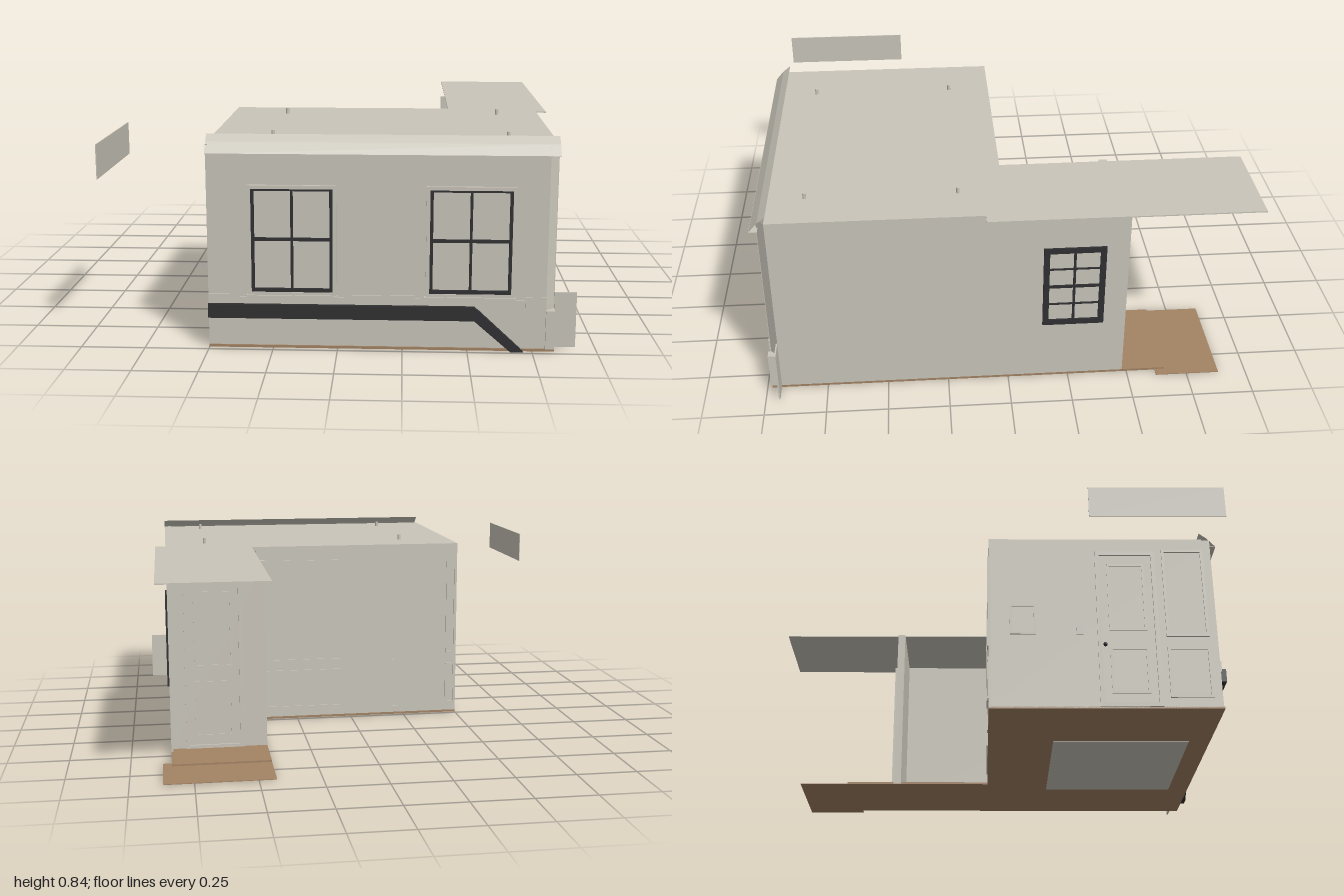
import * as THREE from 'three';

export function createModel() {
  const root = new THREE.Group();
  root.name = 'cornerRoom';
  const material = (name, color, side = THREE.FrontSide) => {
    const m = new THREE.MeshStandardMaterial({ color, side });
    m.name = name;
    return m;
  };
  const plaster = material('plaster', 0xc9c5ba, THREE.DoubleSide);
  const black = material('blackPaint', 0x303032);
  const wood = material('woodFloor', 0xa38364);

  const add = (name, geometry, mat, parent = root) => {
    const mesh = new THREE.Mesh(geometry, mat);
    mesh.name = name;
    parent.add(mesh);
    return mesh;
  };
  // Box given by its limits on each axis
  const box = (name, mat, x0, x1, y0, y1, z0, z1, parent = root) =>
    add(name, new THREE.BoxGeometry(x1 - x0, y1 - y0, z1 - z0), mat, parent)
      .position.set((x0 + x1) / 2, (y0 + y1) / 2, (z0 + z1) / 2);
  // Rectangular frame in a local xy plane, facing +z
  const frame = (name, mat, x0, x1, y0, y1, w, d, parent) => {
    const s = new THREE.Shape([[x0, y0], [x1, y0], [x1, y1], [x0, y1]].map(p => new THREE.Vector2(...p)));
    s.holes.push(new THREE.Path([[x0 + w, y0 + w], [x0 + w, y1 - w], [x1 - w, y1 - w], [x1 - w, y0 + w]]
      .map(p => new THREE.Vector2(...p))));
    return add(name, new THREE.ExtrudeGeometry(s, { depth: d, bevelEnabled: false }), mat, parent);
  };
  // Group lying on a wall: local +z is the wall's outward direction
  const onWall = (name, x, z, turn) => {
    const g = new THREE.Group();
    g.name = name;
    g.position.set(x, 0, z);
    g.rotation.y = turn;
    root.add(g);
    return g;
  };

  // Floors and the inset rug
  box('roomFloor', wood, -0.5, 0.835, 0.002, 0.012, 0.01, 0.98);
  box('hallFloor', wood, 0.43, 0.835, 0.002, 0.012, -0.66, 0.01);
  box('hallFloorEnd', wood, 0.43, 0.87, 0.002, 0.005, -0.885, -0.62);
  box('rug', plaster, -0.137, 0.5, 0, 0.015, 0.295, 0.887);

  // Ceilings
  box('roomCeiling', plaster, -0.5, 0.835, 0.8, 0.805, 0.01, 0.94);
  box('hallCeiling', plaster, 0.45, 0.88, 0.8, 0.805, -1, 0.01);
  box('hallCeilingStep', plaster, 0.835, 0.88, 0.8, 0.805, 0.01, 0.09);

  // Walls
  box('rightWall', plaster, 0.827, 0.835, 0.005, 0.802, -0.48, 0.94);
  box('leftWall', plaster, -0.5, -0.492, 0.005, 0.802, 0.01, 0.975);
  box('backWall', plaster, -0.5, 0.435, 0.005, 0.802, 0.01, 0.018);
  box('hallEndWall', plaster, 0.43, 0.83, 0.005, 0.802, -0.44, -0.405);
  box('frontWall', plaster, -0.5, 0.8, 0.012, 0.79, 0.967, 0.975);
  box('frontWallFoot', plaster, 0.8, 0.835, 0.012, 0.165, 0.94, 0.985);
  box('endPlate', plaster, 0.835, 0.92, 0.01, 0.23, 0.94, 0.946);
  box('detachedPanel', plaster, -0.922, -0.918, 0.66, 0.795, 0.41, 0.96);

  // Splayed corner between front and right walls
  const splay = add('cornerSplay', new THREE.PlaneGeometry(0.05, 0.64), plaster);
  splay.position.set(0.817, 0.485, 0.956);
  splay.rotation.y = Math.PI / 4;

  // Sloping cornice, swept along x
  [[1.0, 0.77, 0.965, 0.81], [0.965, 0.81, 0.932, 0.836]].forEach(([z0, y0, z1, y1]) => {
    const strip = add('cornice', new THREE.PlaneGeometry(1.335, Math.hypot(z1 - z0, y1 - y0)), plaster);
    strip.position.set(0.1675, (y0 + y1) / 2, (z0 + z1) / 2);
    strip.rotation.x = Math.atan2(z1 - z0, y1 - y0);
  });
  box('corniceSoffit', plaster, -0.5, 0.835, 0.768, 0.771, 0.967, 1.0);

  // Front windows with plaster surround, sill and two-by-two bars
  for (const cx of [-0.174, 0.508]) {
    const g = onWall('frontWindow', cx, 0.975, 0);
    frame('surround', plaster, -0.17, 0.17, 0.215, 0.648, 0.014, 0.012, g);
    box('sill', plaster, -0.175, 0.175, 0.205, 0.217, 0, 0.018, g);
    box('apron', plaster, -0.21, 0.21, 0.17, 0.206, 0, 0.005, g);
    frame('sash', black, -0.158, 0.158, 0.223, 0.64, 0.014, 0.01, g);
    box('bottomRail', black, -0.15, 0.15, 0.228, 0.243, 0, 0.01, g);
    box('upright', black, -0.005, 0.005, 0.23, 0.635, 0, 0.008, g);
    box('meetingRail', black, -0.15, 0.15, 0.431, 0.443, 0, 0.009, g);
  }

  // Low wall panels between the windows
  for (const [x0, x1] of [[-0.5, -0.385], [0.035, 0.297], [0.72, 0.8]])
    box('dadoPanel', plaster, x0, x1, 0.17, 0.218, 0.975, 0.98);

  // Black rail that runs level, then drops to the ground
  const rail = new THREE.Shape([[-0.5, 0.125], [0.525, 0.125], [0.665, 0.003], [0.715, 0.003],
    [0.525, 0.18], [-0.5, 0.18]].map(p => new THREE.Vector2(...p)));
  add('frontRail', new THREE.ExtrudeGeometry(rail, { depth: 0.022, bevelEnabled: false }), black)
    .position.z = 0.975;

  // Side window: two columns, four rows; local x runs toward -z
  const side = onWall('sideWindow', 0.835, -0.263, Math.PI / 2);
  frame('sideFrame', black, -0.125, 0.125, 0.27, 0.642, 0.024, 0.008, side);
  box('sideUpright', black, -0.005, 0.005, 0.28, 0.63, 0, 0.006, side);
  for (const [y, h] of [[0.372, 0.003], [0.457, 0.006], [0.541, 0.003]])
    box('sideBar', black, -0.115, 0.115, y - h, y + h, 0, 0.006, side);

  // Left wall: door, panelling and a small framed picture; local x is z
  const left = onWall('leftWallTrim', -0.5, 0, -Math.PI / 2);
  frame('doorCasing', plaster, 0.47, 0.73, 0.01, 0.74, 0.018, 0.008, left);
  frame('doorUpperPanel', plaster, 0.52, 0.68, 0.36, 0.68, 0.01, 0.004, left);
  frame('doorLowerPanel', plaster, 0.52, 0.68, 0.07, 0.28, 0.01, 0.004, left);
  frame('upperPanel', plaster, 0.76, 0.94, 0.33, 0.75, 0.012, 0.006, left);
  frame('lowerPanel', plaster, 0.76, 0.94, 0.05, 0.28, 0.012, 0.006, left);
  frame('pictureFrame', plaster, 0.1, 0.21, 0.34, 0.48, 0.008, 0.006, left);
  box('lightSwitch', plaster, 0.38, 0.41, 0.34, 0.39, 0, 0.006, left);
  add('doorKnob', new THREE.SphereGeometry(0.009, 10, 8), black, left).position.set(0.5, 0.29, 0.01);

  // Back wall panelling; local x is -x
  const back = onWall('backWallTrim', 0, 0.01, Math.PI);
  frame('upperPanel', plaster, -0.425, -0.04, 0.27, 0.74, 0.01, 0.005, back);
  frame('lowerPanel', plaster, -0.425, -0.04, 0.05, 0.23, 0.01, 0.005, back);
  frame('cornerUpperPanel', plaster, 0.45, 0.495, 0.29, 0.72, 0.008, 0.005, back);
  frame('cornerLowerPanel', plaster, 0.45, 0.495, 0.05, 0.24, 0.008, 0.005, back);
  for (const y of [0.03, 0.25]) box('socket', plaster, 0.195, 0.23, y - 0.014, y + 0.014, 0, 0.005, back);

  // Hall end door
  const end = onWall('hallDoor', 0, -0.44, Math.PI);
  frame('hallDoorCasing', plaster, -0.77, -0.53, 0.012, 0.73, 0.014, 0.008, end);
  frame('hallDoorUpperPanel', plaster, -0.73, -0.57, 0.36, 0.68, 0.01, 0.004, end);
  frame('hallDoorLowerPanel', plaster, -0.73, -0.57, 0.06, 0.3, 0.01, 0.004, end);

  // Panel inside the right wall, seen through the open hall; local x is z
  const inner = onWall('innerPanel', 0.827, 0, -Math.PI / 2);
  frame('innerPanelFrame', plaster, 0.03, 0.32, 0.2, 0.74, 0.012, 0.006, inner);

  // Small ceiling fixings
  for (const x of [-0.26, 0.655]) for (const z of [0.19, 0.795]) {
    const peg = add('ceilingFixing', new THREE.CylinderGeometry(0.007, 0.007, 0.026, 10), plaster);
    peg.position.set(x, 0.816, z);
  }
  return root;
}
